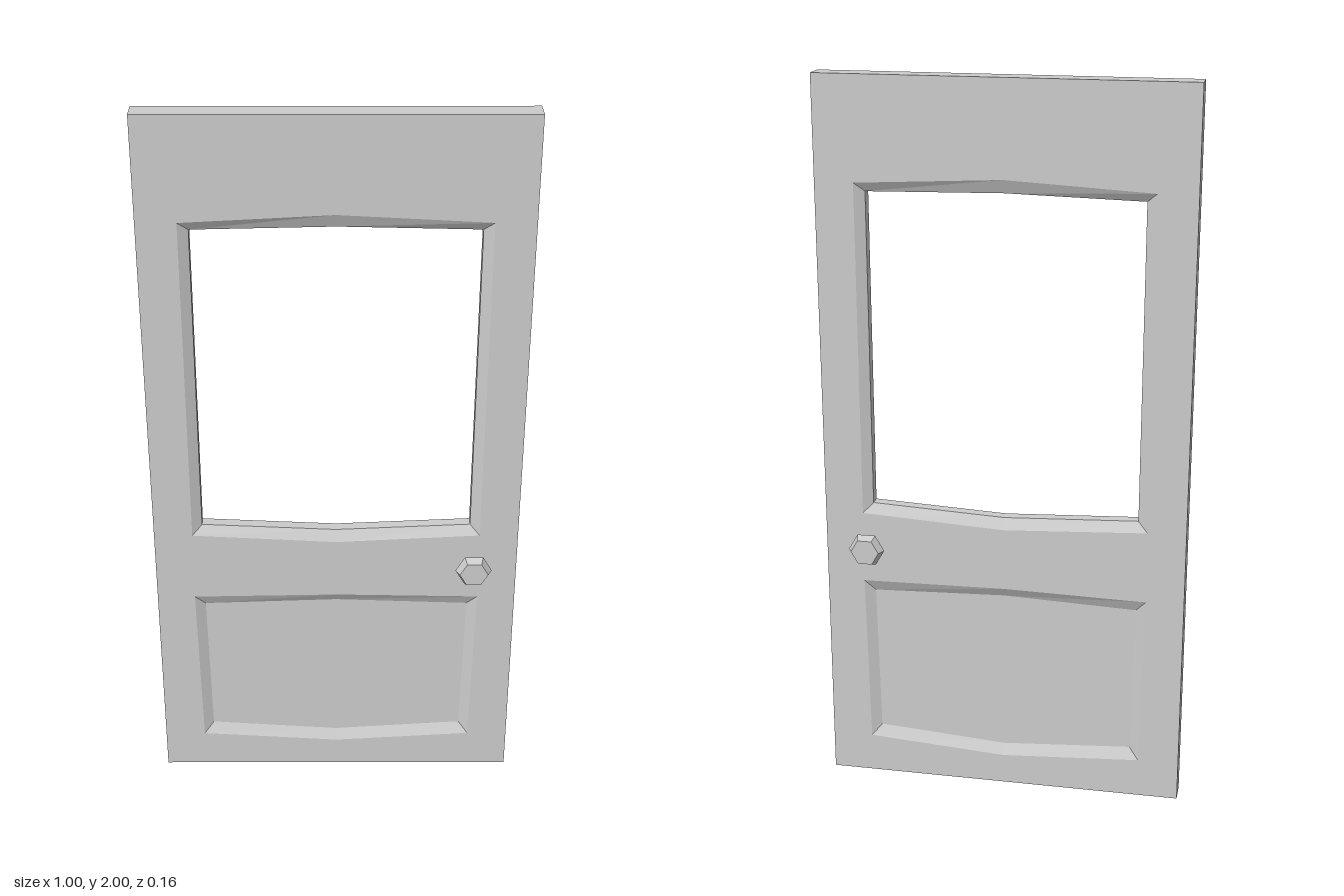
import * as THREE from 'three';

const T = 0.0315;     // half thickness of the door
const RECESS = 0.016; // depth of the bevelled mouldings

const material = new THREE.MeshStandardMaterial({ color: 0xcccccc, flatShading: true });

// Counter-clockwise outline with bowed top and bottom edges
function outline(bottomX, topX, bottom, bottomMid, top, topMid) {
  return [[-bottomX, bottom], [0, bottomMid], [bottomX, bottom], [topX, top], [0, topMid], [-topX, top]]
    .map(([x, y]) => new THREE.Vector2(x, y));
}

// Strip of quads joining two matching loops at depths za and zb
function band(name, a, za, b, zb) {
  const positions = [];
  a.forEach((p, i) => {
    const j = (i + 1) % a.length;
    const A = [p.x, p.y, za], B = [a[j].x, a[j].y, za];
    const C = [b[j].x, b[j].y, zb], D = [b[i].x, b[i].y, zb];
    positions.push(...A, ...B, ...C, ...A, ...C, ...D);
  });
  const geometry = new THREE.BufferGeometry();
  geometry.setAttribute('position', new THREE.Float32BufferAttribute(positions, 3));
  geometry.computeVertexNormals();
  return named(name, geometry);
}

function face(name, loop, z, holes = []) {
  const shape = new THREE.Shape(loop);
  holes.forEach((h) => shape.holes.push(new THREE.Path(h)));
  return named(name, new THREE.ShapeGeometry(shape).translate(0, 0, z));
}

function named(name, geometry) {
  const mesh = new THREE.Mesh(geometry, material);
  mesh.name = name;
  return mesh;
}

export function createModel() {
  const door = new THREE.Group();
  door.name = 'door';

  const edge = outline(0.5, 0.5, 0, 0, 2, 2);
  const windowOuter = outline(0.395, 0.395, 0.803, 0.782, 1.722, 1.743);
  const windowInner = outline(0.368, 0.368, 0.83, 0.813, 1.698, 1.706);
  const panelOuter = outline(0.387, 0.396, 0.111, 0.086, 0.6, 0.607);
  const panelInner = outline(0.36, 0.368, 0.142, 0.117, 0.567, 0.58);

  // Rim of the slab and the lining of the window opening
  door.add(band('doorEdge', edge, -T, edge, T));
  door.add(band('windowReveal', windowInner, T - RECESS, windowInner, RECESS - T));

  // Both sides share the same frame, mouldings and recessed panel
  for (const side of ['front', 'back']) {
    const half = new THREE.Group();
    half.name = side + 'Side';
    half.add(face('frame', edge, T, [windowOuter, panelOuter]));
    half.add(band('windowMoulding', windowOuter, T, windowInner, T - RECESS));
    half.add(band('panelMoulding', panelOuter, T, panelInner, T - RECESS));
    half.add(face('lowerPanel', panelInner, T - RECESS));

    // Six-sided knob flaring out from the door face
    const profile = [[0.027, T - 0.003], [0.028, 0.034], [0.05, 0.057], [0.039, 0.08], [0, 0.08]]
      .map(([r, y]) => new THREE.Vector2(r, y));
    const knob = named('knob', new THREE.LatheGeometry(profile, 6, Math.PI / 6).rotateX(Math.PI / 2));
    knob.position.set(side === 'front' ? 0.38 : -0.38, 0.705, 0);
    half.add(knob);

    if (side === 'back') half.rotation.y = Math.PI;
    door.add(half);
  }
  return door;
}
